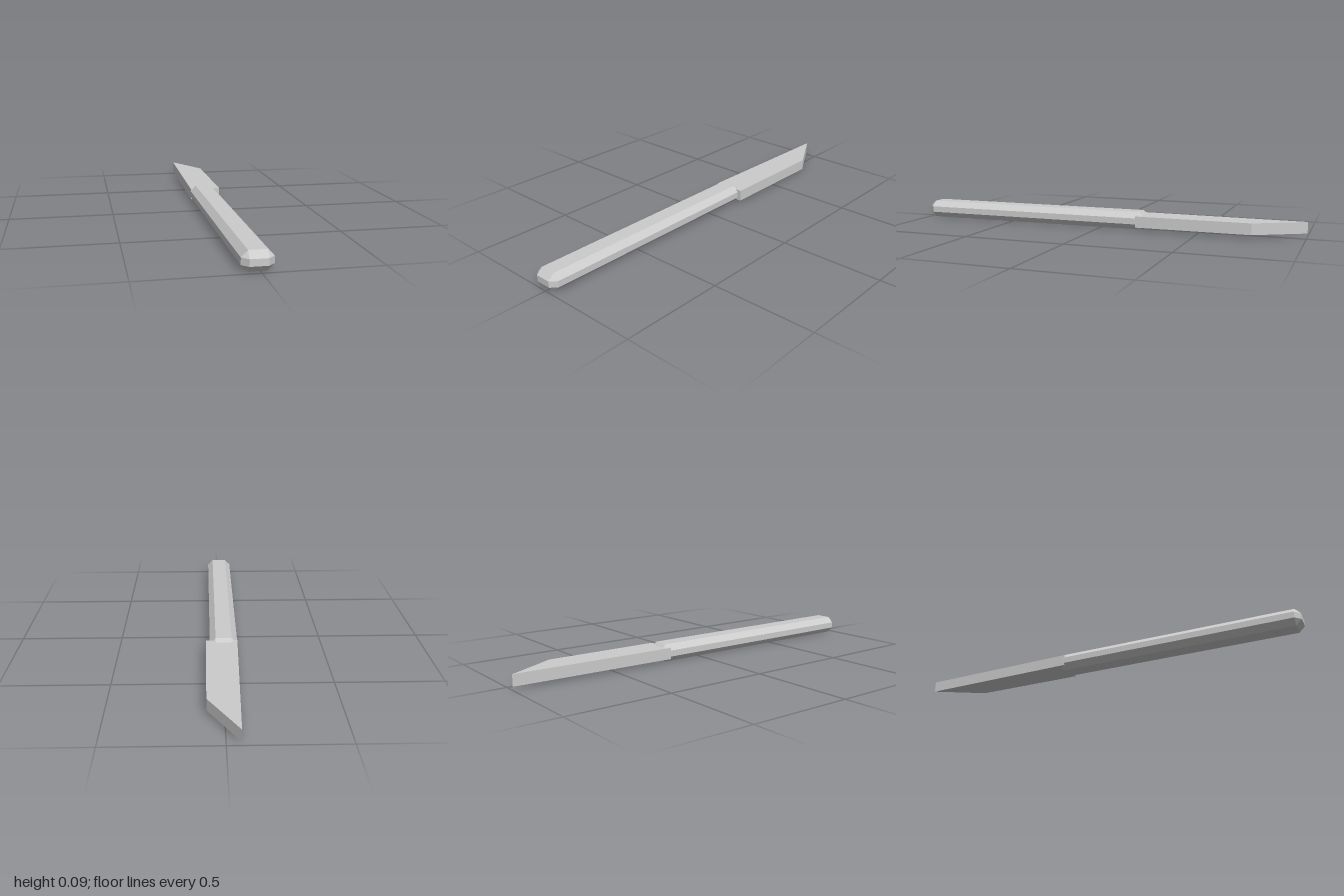
import * as THREE from 'three';
import { ConvexGeometry } from 'three/addons/geometries/ConvexGeometry.js';

// Box with every edge bevelled, given its min and max corners
function bevelledBox(min, max, bevel) {
  const points = [];
  for (let corner = 0; corner < 8; corner++) {
    for (let axis = 0; axis < 3; axis++) {
      // Each corner becomes three points, one on each adjoining face
      const p = [0, 1, 2].map((i) => {
        const inset = i === axis ? 0 : bevel;
        return corner & (1 << i) ? max[i] - inset : min[i] + inset;
      });
      points.push(new THREE.Vector3(...p));
    }
  }
  return new ConvexGeometry(points);
}

export function createModel() {
  const group = new THREE.Group();
  group.name = 'knife';
  const steel = new THREE.MeshStandardMaterial({ color: 0xcccccc });
  steel.name = 'light grey';

  // Long handle with bevelled edges
  const handle = new THREE.Mesh(
    bevelledBox([-0.077, 0, -0.23], [0.056, 0.086, 1], 0.028), steel);
  handle.name = 'handle';
  group.add(handle);

  // Thick blade with a slanted tip, outlined from above (x, -z)
  const outline = new THREE.Shape([
    [-0.077, 0.19], [0.075, 0.195], [0.075, 0.76], [-0.06, 1],
  ].map(([x, y]) => new THREE.Vector2(x, y)));
  const bladeGeometry = new THREE.ExtrudeGeometry(outline, { depth: 0.055, bevelEnabled: false });
  bladeGeometry.rotateX(-Math.PI / 2);
  const blade = new THREE.Mesh(bladeGeometry, steel);
  blade.name = 'blade';
  blade.position.y = 0.016;
  group.add(blade);

  return group;
}
